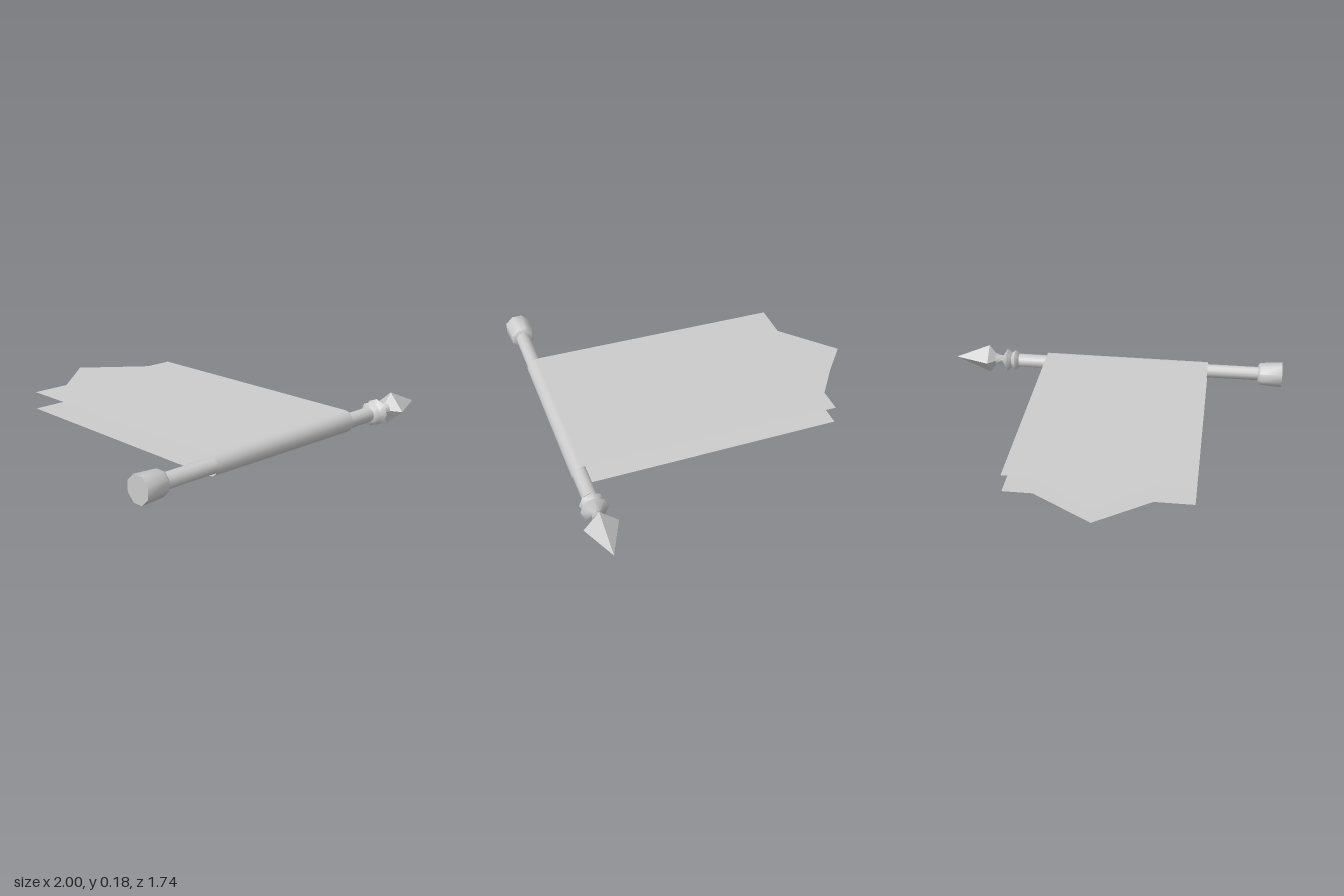
import * as THREE from 'three';
import { toCreasedNormals } from 'three/addons/utils/BufferGeometryUtils.js';

const AXIS_Y = 0.095, AXIS_Z = 0.785;
const material = new THREE.MeshStandardMaterial({ color: 0xcccccc });
const clothMaterial = new THREE.MeshStandardMaterial({ color: 0xcccccc, side: THREE.DoubleSide });

// Turned part along x; profile is a list of [x, radius] from left end to right end
function turned(name, profile, sides, crease = 0.9, phase = 0) {
  const points = profile.map(([x, r]) => new THREE.Vector2(r, x));
  const geometry = toCreasedNormals(new THREE.LatheGeometry(points, sides, phase), crease);
  geometry.rotateZ(-Math.PI / 2);
  const mesh = new THREE.Mesh(geometry, material);
  mesh.name = name;
  mesh.position.set(0, AXIS_Y, AXIS_Z);
  return mesh;
}

// Cloth folded over the pole: two long panels with pointed ends
function bannerCloth() {
  const columns = [[-0.555, -0.62], [-0.345, -0.62], [-0.06, -0.87], [0.265, -0.62], [0.425, -0.62]];
  const arcSteps = 8;
  const positions = [], indices = [];
  for (const [x, endZ] of columns) {
    const ry = 0.057 + 0.004 * x;
    positions.push(x, 0.146, endZ);
    for (let i = 0; i <= arcSteps; i++) {
      const a = Math.PI / 2 - (i / arcSteps) * Math.PI;
      positions.push(x, 0.097 + ry * Math.sin(a), 0.775 + 0.055 * Math.cos(a));
    }
    positions.push(x, 0.051, endZ === -0.87 ? -0.84 : endZ);
  }
  const rows = arcSteps + 3;
  for (let c = 0; c < columns.length - 1; c++) {
    for (let r = 0; r < rows - 1; r++) {
      const a = c * rows + r, b = a + rows;
      indices.push(a, a + 1, b, b, a + 1, b + 1);
    }
  }
  const geometry = new THREE.BufferGeometry();
  geometry.setAttribute('position', new THREE.Float32BufferAttribute(positions, 3));
  geometry.setIndex(indices);
  geometry.computeVertexNormals();
  const mesh = new THREE.Mesh(geometry, clothMaterial);
  mesh.name = 'bannerCloth';
  return mesh;
}

export function createModel() {
  const group = new THREE.Group();
  group.name = 'hangingBanner';
  group.add(
    turned('pole', [[-0.87, 0], [-0.87, 0.04], [0.61, 0.04], [0.61, 0]], 12),
    // Socket at the left end of the pole
    turned('endCap', [[-1, 0], [-1, 0.074], [-0.87, 0.066], [-0.858, 0.055], [-0.858, 0]], 8, 0.9, Math.PI / 8),
    // Two raised rings and the flaring neck below the spearhead
    turned('collarRings', [
      [0.605, 0], [0.605, 0.045], [0.628, 0.065], [0.65, 0.045],
      [0.675, 0.072], [0.702, 0.03], [0.71, 0.02], [0.75, 0.038], [0.75, 0],
    ], 8, 0.9),
    // Four-sided pointed finial
    turned('spearhead', [[0.705, 0], [0.705, 0.022], [0.75, 0.035], [0.79, 0.088], [1, 0]], 4, 0.5, 0.06),
    bannerCloth(),
  );
  return group;
}
